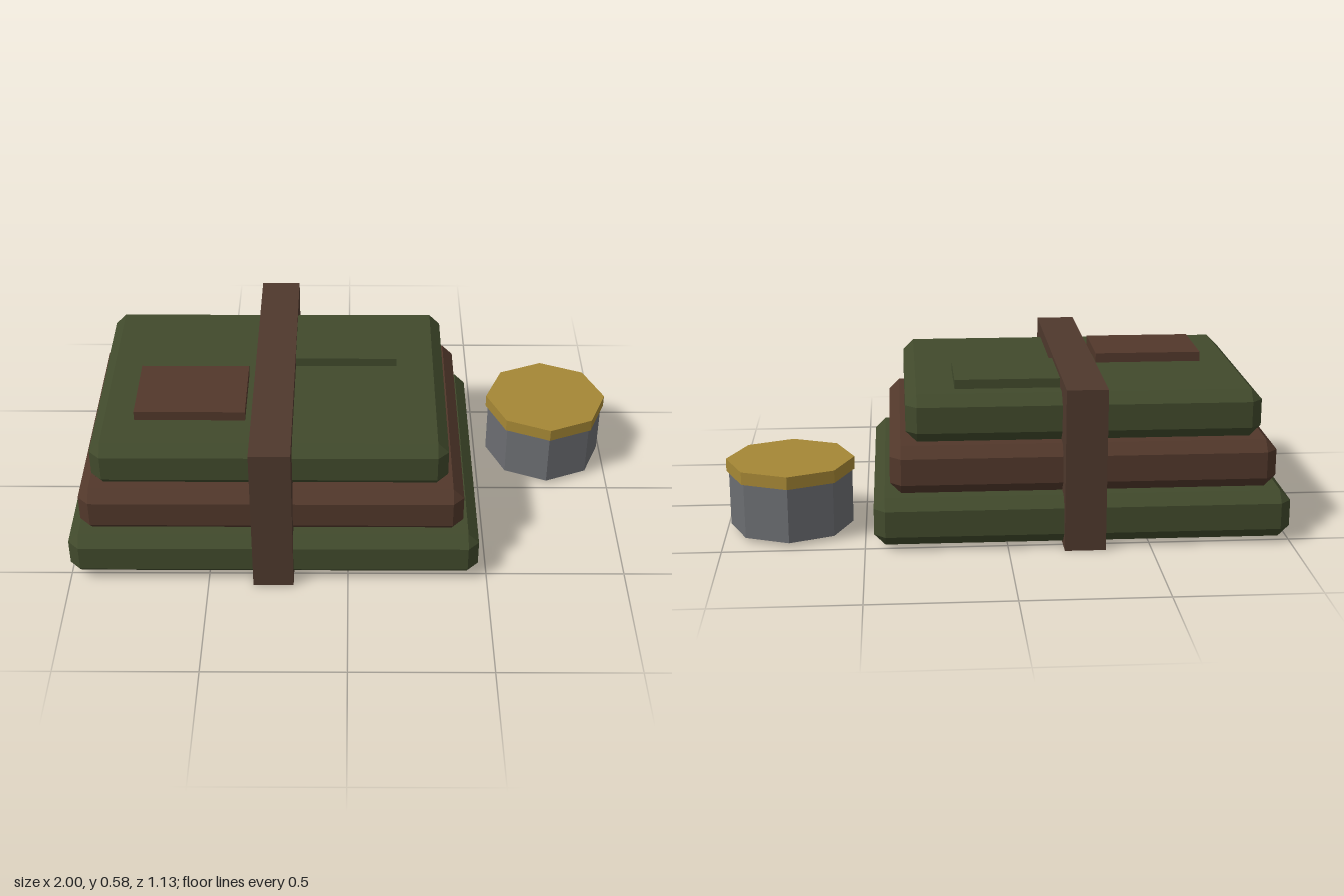
import * as THREE from 'three';
import { ConvexGeometry } from 'three/addons/geometries/ConvexGeometry.js';

const material = (name, color) => {
  const m = new THREE.MeshStandardMaterial({ color, flatShading: true });
  m.name = name;
  return m;
};

// Box with every edge chamfered by b, centred on the origin
function chamferedBox(w, h, d, b) {
  const points = [];
  for (const sx of [-1, 1]) for (const sy of [-1, 1]) for (const sz of [-1, 1]) {
    const x = w / 2, y = h / 2, z = d / 2;
    points.push(
      new THREE.Vector3(sx * x, sy * (y - b), sz * (z - b)),
      new THREE.Vector3(sx * (x - b), sy * y, sz * (z - b)),
      new THREE.Vector3(sx * (x - b), sy * (y - b), sz * z)
    );
  }
  return new ConvexGeometry(points);
}

export function createModel() {
  const model = new THREE.Group();
  model.name = 'foldedClothBundle';

  const green = material('olive cloth', 0x414a2c);
  const brown = material('brown cloth', 0x52382b);
  const leather = material('strap leather', 0x4f392d);
  const metal = material('tin grey', 0x6b6d71);
  const brass = material('brass lid', 0xa58735);

  const add = (name, geometry, mat, x, y, z) => {
    const mesh = new THREE.Mesh(geometry, mat);
    mesh.name = name;
    mesh.position.set(x, y, z);
    model.add(mesh);
  };
  // Place a block by its extents on each axis
  const block = (name, mat, [x0, x1], [y0, y1], [z0, z1], bevel = 0) => {
    const size = [x1 - x0, y1 - y0, z1 - z0];
    const geometry = bevel ? chamferedBox(...size, bevel) : new THREE.BoxGeometry(...size);
    add(name, geometry, mat, (x0 + x1) / 2, (y0 + y1) / 2, (z0 + z1) / 2);
  };

  // Stack of folded cloths
  block('bottomCloth', green, [-1, 0.468], [0.015, 0.187], [-0.54, 0.54], 0.039);
  block('middleCloth', brown, [-0.954, 0.41], [0.187, 0.36], [-0.49, 0.502], 0.039);
  block('topCloth', green, [-0.904, 0.352], [0.36, 0.532], [-0.444, 0.462], 0.039);

  // Patches on the top cloth
  block('brownPatch', brown, [-0.756, -0.364], [0.52, 0.567], [0, 0.29]);
  block('greenPatch', green, [-0.214, 0.178], [0.52, 0.565], [-0.345, -0.052]);

  // Strap around the stack
  block('strap', leather, [-0.339, -0.195], [0, 0.58], [-0.565, 0.565]);

  // Eight-sided tin with an overhanging lid
  add('tinBody', new THREE.CylinderGeometry(0.221, 0.221, 0.2, 8), metal, 0.767, 0.115, -0.246);
  add('tinLid', new THREE.CylinderGeometry(0.23, 0.23, 0.046, 8), brass, 0.767, 0.238, -0.246);

  return model;
}
